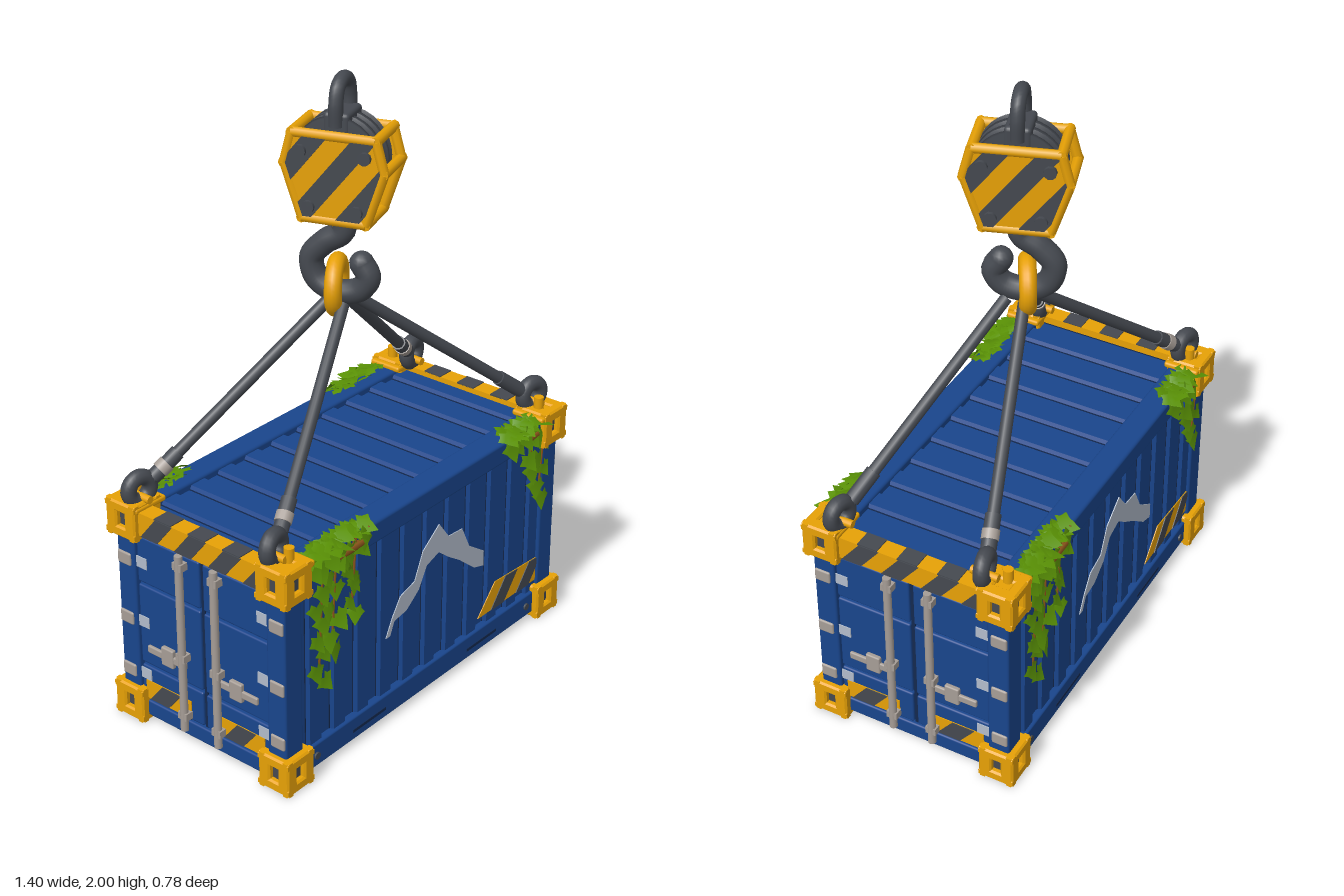
import * as THREE from 'three';
import { mergeGeometries } from 'three/addons/utils/BufferGeometryUtils.js';
import { RoundedBoxGeometry } from 'three/addons/geometries/RoundedBoxGeometry.js';

const mat = (name, color, side = THREE.FrontSide) => Object.assign(new THREE.MeshStandardMaterial({ color, side }), { name });
const blue = mat('blue paint', 0x19458c), navy = mat('groove navy', 0x14294f);
const yellow = mat('safety yellow', 0xeba406), dark = mat('dark steel', 0x454950);
const silver = mat('bare metal', 0xa69d96), pale = mat('pale paint', 0xb2bccb);
const green = mat('leaf green', 0x5a9205, THREE.DoubleSide), floorGreen = mat('floor green', 0x289004);
const brown = mat('vine brown', 0x8a541a);
const V = (x, y, z) => new THREE.Vector3(x, y, z);

function add(parent, name, geo, material, x = 0, y = 0, z = 0) {
  const m = new THREE.Mesh(geo, material);
  m.name = name;
  m.position.set(x, y, z);
  parent.add(m);
  return m;
}
// box given by its limits
function box(parent, name, material, [x0, x1], [y0, y1], [z0, z1], r = 0) {
  const s = [x1 - x0, y1 - y0, z1 - z0];
  const geo = r ? new RoundedBoxGeometry(...s, 2, r) : new THREE.BoxGeometry(...s);
  return add(parent, name, geo, material, (x0 + x1) / 2, (y0 + y1) / 2, (z0 + z1) / 2);
}
function rod(parent, name, material, a, b, r, sides = 14) {
  const m = add(parent, name, new THREE.CylinderGeometry(r, r, a.distanceTo(b), sides), material);
  m.position.copy(a).lerp(b, 0.5);
  m.quaternion.setFromUnitVectors(V(0, 1, 0), b.clone().sub(a).normalize());
  return m;
}
const shapeOf = pts => new THREE.Shape(pts.map(p => new THREE.Vector2(...p)));
const plate = (pts, depth) => new THREE.ExtrudeGeometry(shapeOf(pts), { depth, bevelEnabled: false });
const rect = (x0, x1, y0, y1) => [[x0, y0], [x1, y0], [x1, y1], [x0, y1]];

// keep the part of a convex polygon where f(p) >= 0
function clip(pts, f) {
  const out = [];
  pts.forEach((p, i) => {
    const q = pts[(i + 1) % pts.length], a = f(p), b = f(q);
    if (a >= 0) out.push(p);
    if (a * b < 0) out.push([0, 1].map(k => p[k] + (q[k] - p[k]) * a / (a - b)));
  });
  return out;
}
// yellow plate with dark diagonal stripes, facing +z of its group
function hazard(parent, name, pts, period, thick = 0.003) {
  const g = new THREE.Group();
  g.name = name;
  parent.add(g);
  add(g, name + 'Base', plate(pts, thick), yellow);
  const t = p => p[0] - p[1] * 0.8;
  for (let s = -2; s < 1; s += period) {
    const band = clip(clip(pts, p => t(p) - s), p => s + period / 2 - t(p));
    if (band.length > 2) add(g, name + 'Stripe', plate(band, 0.003), dark, 0, 0, thick);
  }
  return g;
}
// trapezoid ribbed sheet: ribs rise along +y, extruded along +z
function ribbed(width, depth, n, rise) {
  const p = width / n, pts = [[-width / 2, -0.02]];
  for (let i = 0; i < n; i++) {
    const x = -width / 2 + i * p;
    pts.push([x, 0], [x + p * 0.42, 0], [x + p * 0.48, rise], [x + p * 0.94, rise]);
  }
  pts.push([width / 2, 0], [width / 2, -0.02]);
  return plate(pts, depth);
}

// cast corner block with an opening in every face
function casting(parent, x, y, z) {
  const g = new THREE.Group();
  g.name = 'cornerCasting';
  g.position.set(x, y, z);
  parent.add(g);
  add(g, 'castingCore', new THREE.BoxGeometry(0.084, 0.084, 0.084), dark);
  const s = shapeOf(rect(-0.054, 0.054, -0.054, 0.054));
  s.holes.push(shapeOf(rect(-0.022, 0.022, -0.03, 0.03)));
  const geo = new THREE.ExtrudeGeometry(s, { depth: 0.016, bevelSize: 0.006, bevelThickness: 0.006, bevelSegments: 1 });
  geo.translate(0, 0, 0.038);
  for (let i = 0; i < 4; i++) add(g, 'castingFace', geo, yellow).rotation.y = i * Math.PI / 2;
  for (const k of [-1, 1]) add(g, 'castingFace', geo, yellow).rotation.x = k * Math.PI / 2;
}

function ivy(parent) {
  let seed = 11;
  const rnd = (a, b) => a + (b - a) * ((seed = (seed * 16807) % 2147483647) / 2147483647);
  const leaf = new THREE.ShapeGeometry(shapeOf([[0, 0], [0.3, 0.22], [0.38, -0.02], [0.66, -0.2], [0.4, -0.42],
    [0.28, -0.62], [0, -1], [-0.28, -0.62], [-0.4, -0.42], [-0.66, -0.2], [-0.38, -0.02], [-0.3, 0.22]]));
  const pos = leaf.attributes.position;
  for (let i = 0; i < pos.count; i++) pos.setZ(i, -0.25 * Math.abs(pos.getX(i)));
  leaf.computeVertexNormals();
  const leaves = [], o = new THREE.Object3D();
  const put = (x, y, z, tilt, size) => {
    o.position.set(x, y, z);
    o.rotation.set(tilt, rnd(-0.3, 0.3), rnd(-0.5, 0.5));
    o.scale.setScalar(size);
    o.updateMatrix();
    leaves.push(leaf.clone().applyMatrix4(o.matrix));
  };
  // crown: x range and leaf count
  for (const [x0, x1, n] of [[-0.57, -0.31, 22], [0.4, 0.58, 15]]) {
    rod(parent, 'vineRunner', brown, V(x0 + 0.08, 0.71, 0.344), V(x1 - 0.03, 0.715, 0.344), 0.012, 6);
    for (let i = 0; i < n; i++) {
      const x = x0 + (x1 - x0) * (i + 0.5) / n;
      put(x, rnd(0.757, 0.768), rnd(0.285, 0.325), rnd(-1.4, -1.1), rnd(0.06, 0.075));
      if (i % 3 === 0) put(x, rnd(0.72, 0.75), rnd(0.345, 0.352), rnd(-0.45, -0.15), rnd(0.06, 0.07));
    }
  }
  // hanging vines: x and lowest y
  for (const [x, low] of [[-0.53, 0.33], [-0.47, 0.42], [-0.39, 0.62], [-0.38, 0.5], [-0.32, 0.7], [0.58, 0.48], [0.52, 0.6], [0.44, 0.7]]) {
    rod(parent, 'vineStem', brown, V(x, low, 0.338), V(x + 0.02, 0.75, 0.34), 0.004, 5);
    for (let y = low, k = 1; y < Math.min(low + 0.36, 0.7); y += 0.052, k = -k) put(x + k * 0.016, y, 0.345, rnd(-0.4, -0.1), rnd(0.052, 0.066));
  }
  add(parent, 'ivyLeaves', mergeGeometries(leaves), green);
}

// one long side and one door end; the other half is the same turned round
function containerHalf() {
  const g = new THREE.Group();
  g.name = 'containerHalf';
  // long side
  const wall = add(g, 'sideWall', ribbed(1.22, 0.58, 11, 0.014), blue, 0, 0.68, 0.311);
  wall.rotation.x = Math.PI / 2;
  for (let i = 0; i < 11; i++) for (const f of [0, 0.42])
    box(g, 'wallGroove', navy, [-0.612 + (i + f) * 0.111, -0.608 + (i + f) * 0.111], [0.1, 0.68], [0.3, 0.313]);
  box(g, 'topRail', blue, [-0.63, 0.63], [0.672, 0.747], [0.25, 0.338], 0.01);
  box(g, 'bottomRail', blue, [-0.63, 0.63], [0.02, 0.1], [0.3, 0.336], 0.006);
  for (const x of [-0.29, 0.29]) box(g, 'forkPocket', navy, [x - 0.08, x + 0.08], [0.048, 0.058], [0.33, 0.338]);
  for (const x of [-0.54, 0.54]) rod(g, 'railBolt', dark, V(x, 0.06, 0.33), V(x, 0.06, 0.342), 0.012);
  add(g, 'chevronStripe', plate([[-0.2, 0.3], [-0.17, 0.36], [-0.13, 0.42], [-0.06, 0.44], [-0.02, 0.53], [0.06, 0.59], [0.11, 0.525], [0.18, 0.52],
    [0.22, 0.44], [0.3, 0.385], [0.3, 0.33], [0.25, 0.345], [0.17, 0.41], [0.11, 0.45], [0.06, 0.49], [0, 0.47], [-0.04, 0.4], [-0.1, 0.355], [-0.16, 0.345], [-0.18, 0.3]], 0.003), pale, 0, 0, 0.325);
  hazard(g, 'sideHazard', [[0.28, 0.135], [0.61, 0.135], [0.61, 0.22], [0.37, 0.235]], 0.14).position.z = 0.325;
  ivy(g);
  // door end
  for (const s of [-1, 1]) {
    box(g, 'cornerPost', blue, [0.6, 0.678], [0.1, 0.67], [s * 0.3 - 0.036, s * 0.3 + 0.036], 0.008);
    casting(g, 0.637, 0.06, s * 0.299);
    casting(g, 0.637, 0.71, s * 0.299);
    box(g, 'cornerGusset', yellow, [0.56, 0.69], [0.742, 0.762], [s * 0.295 - 0.06, s * 0.295 + 0.06], 0.008);
    rod(g, 'liftingLug', yellow, V(0.615, 0.76, s * 0.302), V(0.615, 0.808, s * 0.302), 0.016);
    for (const [y0, y1] of [[0.08, 0.2], [0.21, 0.49], [0.5, 0.66]])
      box(g, 'doorPanel', blue, [0.65, 0.668], [y0, y1], [s * 0.135 - 0.128, s * 0.135 + 0.128], 0.006);
    rod(g, 'lockRod', silver, V(0.687, 0.05, s * 0.07), V(0.687, 0.67, s * 0.07), 0.013);
    for (const y of [0.09, 0.3, 0.62]) box(g, 'rodBracket', silver, [0.665, 0.697], [y, y + 0.025], [s * 0.07 - 0.018, s * 0.07 + 0.018]);
    box(g, 'doorHandle', silver, [0.668, 0.68], [0.262, 0.288], [s * 0.145 - 0.08, s * 0.145 + 0.08], 0.005);
    box(g, 'handleLatch', silver, [0.666, 0.683], [0.245, 0.31], [s * 0.14 - 0.025, s * 0.14 + 0.025], 0.005);
    for (const y of [0.17, 0.36, 0.57]) {
      box(g, 'hinge', silver, [0.66, 0.684], [y - 0.022, y + 0.022], [s * 0.305 - 0.027, s * 0.305 + 0.027], 0.006);
      box(g, 'paintChip', pale, [0.668, 0.671], [y - 0.018, y + 0.02], [s * 0.25 - 0.028, s * 0.25 + 0.028]);
    }
    const u = s * 0.15;
    const h = hazard(g, 'doorHazard', rect(u - 0.095, u + 0.095, 0.085, 0.15), 0.155);
    h.rotation.y = Math.PI / 2;
    h.position.x = 0.668;
  }
  box(g, 'doorWall', blue, [0.62, 0.655], [0.07, 0.67], [-0.28, 0.28]);
  box(g, 'doorSeam', navy, [0.65, 0.66], [0.07, 0.67], [-0.006, 0.006]);
  box(g, 'endSill', blue, [0.62, 0.672], [0.02, 0.075], [-0.25, 0.25], 0.006);
  box(g, 'endHeader', yellow, [0.62, 0.676], [0.672, 0.75], [-0.25, 0.25]);
  const face = hazard(g, 'headerHazard', rect(-0.25, 0.25, 0.672, 0.75), 0.137);
  face.rotation.y = Math.PI / 2;
  face.position.x = 0.676;
  for (const z of [-0.135, 0.002, 0.139]) box(g, 'headerBand', dark, [0.62, 0.679], [0.748, 0.753], [z - 0.034, z + 0.034]);
  return g;
}

// pulley block, hook and ring, turned a little about the vertical
function hookBlock() {
  const g = new THREE.Group();
  g.name = 'hookBlock';
  g.position.x = -0.012;
  g.rotation.y = 0.33;
  const hex = [[-0.1, 1.565], [0.1, 1.565], [0.155, 1.73], [0.13, 1.825], [-0.13, 1.825], [-0.155, 1.73]];
  for (const s of [-1, 1]) {
    const p = hazard(g, 'cheekPlate', hex, 0.15, 0.012);
    p.rotation.y = s * Math.PI / 2;
    p.position.x = s * 0.072;
    hex.forEach((a, i) => {
      const b = hex[(i + 1) % 6];
      rod(g, 'plateRim', yellow, V(s * 0.074, a[1], a[0]), V(s * 0.074, b[1], b[0]), 0.016, 8);
    });
    for (const [z, y] of [[-0.1, 1.775], [0.1, 1.775], [-0.075, 1.605], [0.075, 1.605]])
      rod(g, 'plateBolt', dark, V(s * 0.07, y, z), V(s * 0.098, y, z), 0.02, 10);
  }
  for (const [z, y] of hex) rod(g, 'crossBar', yellow, V(-0.084, y, z), V(0.084, y, z), 0.016, 8);
  // sheaves with a grooved rim
  const rim = [[0.02, -0.018], [0.13, -0.018], [0.135, -0.012], [0.115, 0], [0.135, 0.012], [0.13, 0.018], [0.02, 0.018]];
  const wheel = new THREE.LatheGeometry(rim.map(p => new THREE.Vector2(...p)), 32);
  for (const x of [-0.038, 0, 0.038]) add(g, 'sheave', wheel, dark, x, 1.745, 0).rotation.z = Math.PI / 2;
  box(g, 'topYoke', dark, [-0.06, 0.06], [1.8, 1.89], [-0.04, 0.04], 0.012);
  // lifting eye
  const eye = new THREE.CatmullRomCurve3([V(-0.055, 1.85, 0), V(-0.056, 1.92, 0), V(-0.04, 1.962, 0), V(0, 1.978, 0),
    V(0.04, 1.962, 0), V(0.056, 1.92, 0), V(0.055, 1.85, 0)]);
  add(g, 'liftingEye', new THREE.TubeGeometry(eye, 32, 0.022, 12), dark);
  // hook
  rod(g, 'hookCollar', yellow, V(0, 1.525, 0), V(0, 1.6, 0), 0.035);
  const bend = [[0, 1.56], [0, 1.505], [-0.055, 1.465], [-0.1, 1.41], [-0.085, 1.345], [-0.02, 1.31], [0.055, 1.325], [0.082, 1.37], [0.06, 1.41]];
  add(g, 'hook', new THREE.TubeGeometry(new THREE.CatmullRomCurve3(bend.map(([z, y]) => V(0, y, z))), 48, 0.038, 14), dark);
  add(g, 'hookTip', new THREE.SphereGeometry(0.038, 14, 10), dark, 0, 1.41, 0.06);
  add(g, 'slingRing', new THREE.TorusGeometry(0.072, 0.027, 14, 36), yellow, 0, 1.33, -0.02).rotation.y = 0.2;
  return g;
}

export function createModel() {
  const model = new THREE.Group();
  model.name = 'hoistedContainer';
  const front = containerHalf(), back = containerHalf();
  back.rotation.y = Math.PI;
  model.add(front, back);
  // roof and floor
  add(model, 'roof', ribbed(1.24, 0.52, 10, 0.014), blue, 0, 0.722, -0.26);
  for (let i = 0; i < 10; i++) for (const f of [0, 0.42])
    box(model, 'roofGroove', navy, [-0.622 + (i + f) * 0.124, -0.618 + (i + f) * 0.124], [0.715, 0.7245], [-0.25, 0.25]);
  box(model, 'floor', floorGreen, [-0.63, 0.63], [0.04, 0.06], [-0.31, 0.31]);
  model.add(hookBlock());
  // slings and corner shackles: side, depth, whether a metal ferrule is fitted
  for (const [sx, z, ferrule] of [[-1, 0.26, true], [1, 0.26, false], [-1, -0.275, true], [1, -0.235, true]]) {
    const sz = Math.sign(z);
    const foot = V(sx * 0.6, 0.815, z - sz * 0.01), top = V(sx * 0.035 - 0.012, 1.285, sz * 0.03);
    const at = t => foot.clone().lerp(top, t);
    rod(model, 'sling', dark, foot, top, 0.019);
    rod(model, 'slingSleeve', dark, at(0.02), at(0.16), 0.024);
    if (ferrule) rod(model, 'slingFerrule', silver, at(0.06), at(0.1), 0.027);
    add(model, 'shackle', new THREE.TorusGeometry(0.038, 0.025, 12, 28), dark, sx * 0.633, 0.8, z).rotation.y = -sx * sz * 0.2;
    rod(model, 'shacklePin', yellow, V(sx * 0.633, 0.775, z - 0.045), V(sx * 0.633, 0.775, z + 0.045), 0.013);
  }
  return model;
}
